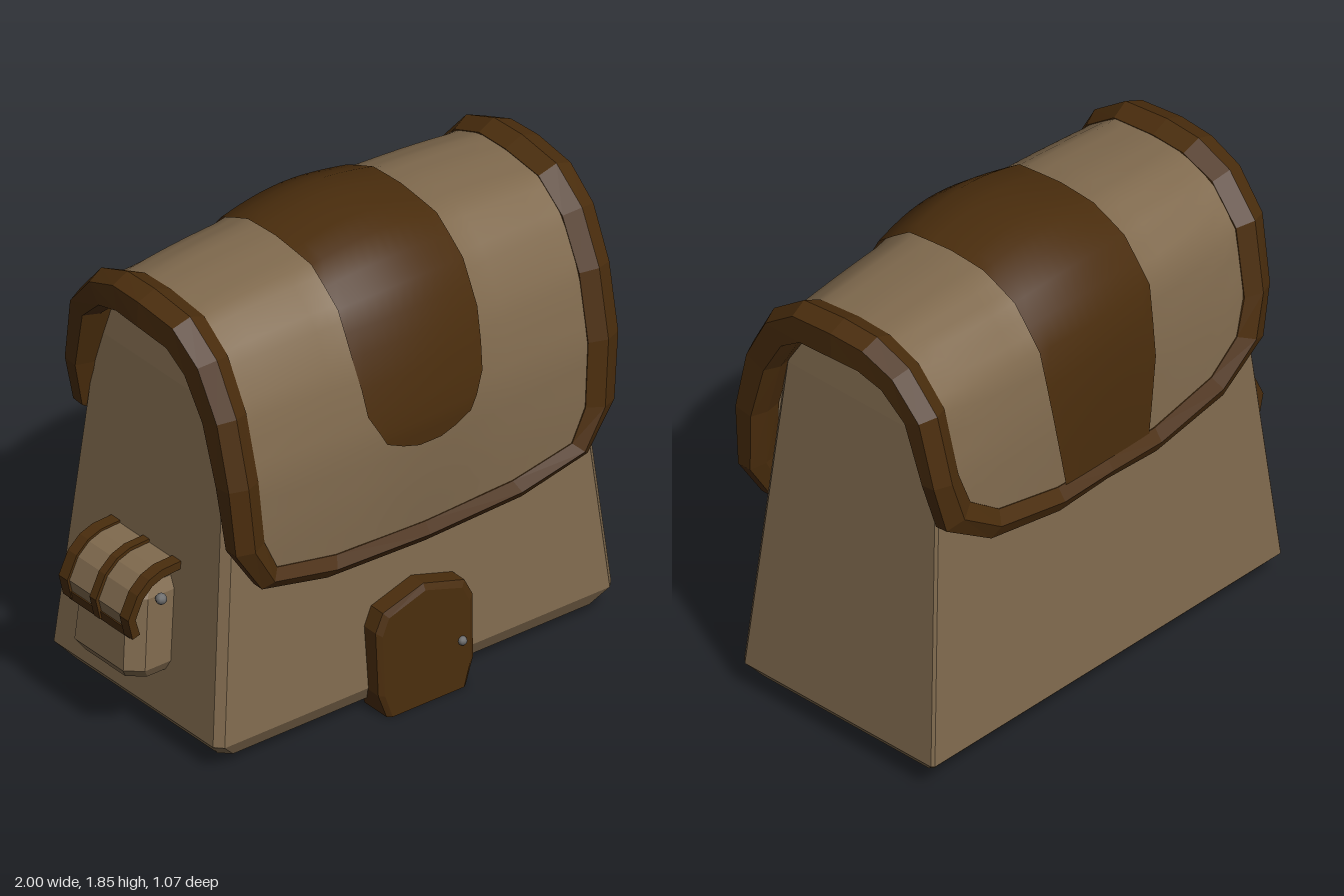
import * as THREE from 'three';

const CX = 0.09; // the bag is centred here, the side pouch fills the rest
const tan = new THREE.MeshStandardMaterial({ color: 0x806a4e, side: THREE.DoubleSide });
tan.name = 'tan canvas';
const brown = new THREE.MeshStandardMaterial({ color: 0x4a2d0d, side: THREE.DoubleSide });
brown.name = 'brown leather';
const grey = new THREE.MeshStandardMaterial({ color: 0x6c6c6c });
grey.name = 'grey metal';

// Skin a list of equal-length point rows; ring closes each row, loop joins last to first
function loft(rows, { ring = false, loop = false, caps = false, flat = false } = {}) {
  const n = rows[0].length, m = rows.length, idx = [];
  const pos = rows.flat();
  for (let i = 0; i < (loop ? m : m - 1); i++) {
    for (let j = 0; j < (ring ? n : n - 1); j++) {
      const k = (j + 1) % n, i2 = (i + 1) % m;
      const a = i * n + j, b = i * n + k, c = i2 * n + k, d = i2 * n + j;
      idx.push(a, b, c, a, c, d);
    }
  }
  if (caps) {
    for (let j = 1; j < n - 1; j++) {
      const e = (m - 1) * n;
      idx.push(0, j + 1, j, e, e + j, e + j + 1);
    }
  }
  let g = new THREE.BufferGeometry();
  g.setAttribute('position', new THREE.Float32BufferAttribute(pos.flatMap(p => p.toArray()), 3));
  g.setIndex(idx);
  if (flat) g = g.toNonIndexed();
  g.computeVertexNormals();
  return g;
}

function add(parent, name, geometry, material) {
  const mesh = new THREE.Mesh(geometry, material);
  mesh.name = name;
  parent.add(mesh);
  return mesh;
}

const lerpTable = (table, v) => {
  let i = 0;
  while (i < table.length - 2 && v > table[i + 1][0]) i++;
  const [v0, a] = table[i], [v1, b] = table[i + 1];
  return a + (b - a) * (v - v0) / (v1 - v0);
};

// Flap profile as [z, y], front hem over the top to the back hem
const PROFILE = [[.49, .66], [.495, .95], [.485, 1.2], [.425, 1.46], [.325, 1.65], [.19, 1.75],
  [0, 1.77], [-.15, 1.765], [-.29, 1.71], [-.41, 1.57], [-.465, 1.3], [-.495, .9]];
const zTable = PROFILE.map((p, i) => [i, p[0]]);
const yTable = PROFILE.map((p, i) => [i, p[1]]);

// Point on the flap at sideways position x, profile position v, raised by h
function surf(x, v, h) {
  const dz = lerpTable(zTable, v + .5) - lerpTable(zTable, v - .5);
  const dy = lerpTable(yTable, v + .5) - lerpTable(yTable, v - .5);
  const l = Math.hypot(dz, dy);
  const over = Math.max(0, Math.sin(Math.PI * v / 11));
  const crown = .04 * Math.max(0, 1 - (x / .76) ** 2);
  const bulge = Math.abs(x) < .3 ? .04 * Math.cos(x / .3 * Math.PI / 2) : 0;
  const r = h + over * (crown + bulge);
  return new THREE.Vector3(CX + x, lerpTable(yTable, v) - dz / l * r, lerpTable(zTable, v) + dy / l * r);
}
const thickness = v => .04 + .07 * Math.max(0, Math.sin(Math.PI * v / 11));

function buildFlap(group) {
  const flap = new THREE.Group();
  flap.name = 'flap';
  group.add(flap);
  // Cloth sheet and its lining
  const width = [[0, .69], [.5, .71], [1, .755], [2, .78], [9, .78], [10, .76], [11, .7]];
  const sheet = inside => {
    const rows = [];
    for (let i = 0; i <= 33; i++) {
      const row = [];
      for (let j = 0; j <= 24; j++) {
        const s = j / 12 - 1, f = .2 + .25 * s * s, b = 10.9 - .4 * s ** 4;
        const v = f + (b - f) * i / 33;
        row.push(surf(s * lerpTable(width, v), v, inside ? -thickness(v) : 0));
      }
      rows.push(row);
    }
    return loft(rows);
  };
  add(flap, 'flapCloth', sheet(false), tan);
  add(flap, 'flapLining', sheet(true), tan);

  // Centre strap with a rounded front end
  const half = [[1.6, .05], [1.68, .12], [1.8, .19], [2.3, .26], [3.2, .285], [9, .285], [10, .265], [11, .2]];
  const rows = [1.6, 1.68, 1.8, 2, 2.3, 2.7, 3.2, 3.6, 4, 4.5, 5, 5.5, 6, 6.5, 7, 7.5, 8, 8.5, 9, 9.5, 10, 10.5, 10.95]
    .map(v => Array.from({ length: 13 }, (_, j) => surf((j / 6 - 1) * lerpTable(half, v), v, .008)));
  add(flap, 'centreStrap', loft(rows), brown);

  // Leather edging: inner x, inner v, outer x, outer v around one half
  const edge = [[0, .31, 0, .02], [.4, .35, .44, .07], [.67, .53, .74, .3], [.73, .97, .86, .93],
    [.75, 2, .885, 2], [.757, 3, .892, 3], [.76, 4, .9, 4], [.76, 5, .905, 5], [.76, 6, .91, 6],
    [.76, 7, .905, 7], [.76, 8, .9, 8], [.755, 9, .89, 9], [.74, 10, .87, 10],
    [.69, 10.35, .82, 10.5], [.55, 10.6, .6, 10.85], [.25, 10.75, .25, 11], [0, 10.75, 0, 10.97]];
  const other = edge.slice(1, -1).reverse().map(([a, b, c, d]) => [-a, b, -c, d]);
  const rings = [...edge, ...other].map(([xi, vi, xo, vo]) => {
    const xm = (xi + xo) / 2, vm = (vi + vo) / 2, t = thickness(vm);
    return [surf(xi, vi, .004), surf(xm, vm, .036), surf(xo, vo, .006),
      surf(xo, vo, -t * .9), surf(xm, vm, -t - .012), surf(xi, vi, -t - .004)];
  });
  add(flap, 'flapEdging', loft(rings, { ring: true, loop: true, flat: true }), brown);
}

function buildBody(group) {
  // Levels: y, half width, front z, back z, corner cut
  const levels = [[.015, .5, .22, -.25, .05], [.045, .85, .42, -.44, .04], [.11, .905, .455, -.5, .03],
    [1.42, .78, .362, -.405, .03], [1.53, .765, .32, -.39, .03], [1.585, .735, .27, -.35, .03]];
  const rings = levels.map(([y, w, f, b, c]) => [[-w + c, f], [w - c, f], [w, f - c], [w, b + c / 3],
    [w - c / 3, b], [-w + c / 3, b], [-w, b + c / 3], [-w, f - c]].map(([x, z]) => new THREE.Vector3(CX + x, y, z)));
  add(group, 'bagBody', loft(rings, { ring: true, caps: true, flat: true }), tan);
}

function buildDoor(group) {
  const door = new THREE.Group();
  door.name = 'door';
  group.add(door);
  const outline = [[-.18, 0], [.18, 0], [.215, .1], [.22, .36], [.185, .43], [0, .485], [-.185, .43], [-.22, .36], [-.215, .1]];
  const ring = (k, z) => outline.map(([x, y]) =>
    new THREE.Vector3(.083 + x * k, y * (.5 + k / 2) + .004, z - y * .035));
  add(door, 'doorPanel', loft([ring(1, .39), ring(1, .515), ring(.9, .528)], { ring: true, caps: true, flat: true }), brown);
  add(door, 'doorKnob', new THREE.SphereGeometry(.018, 8, 6), grey).position.set(.24, .2, .525);
}

function buildPouch(group) {
  const pouch = new THREE.Group();
  pouch.name = 'sidePouch';
  pouch.position.z = -.035;
  group.add(pouch);
  // Rounded pocket, lofted upward: y, outer x, half depth
  const rings = [[.275, -.9, .13], [.29, -.94, .165], [.335, -.97, .19], [.62, -.945, .175], [.665, -.92, .15]]
    .map(([y, x, d]) => [[-.72, d], [-.72, -d], [x + .06, -d], [x, -d + .05], [x, d - .05], [x + .06, d]]
      .map(([px, z]) => new THREE.Vector3(px, y, z)));
  add(pouch, 'pocket', loft(rings, { ring: true, caps: true, flat: true }), tan);

  // Curved lid strips: outer curve in x and y, with a given thickness
  const arc = [[-.965, .5], [-.985, .58], [-.945, .665], [-.895, .71], [-.84, .73], [-.74, .735]];
  const centre = [-.82, .54];
  const strip = (name, z0, z1, lift, thick, material, path = arc) => {
    const rows = path.map(([x, y]) => {
      const d = Math.hypot(x - centre[0], y - centre[1]);
      const ux = (x - centre[0]) / d, uy = (y - centre[1]) / d;
      const at = (r, z) => new THREE.Vector3(x + ux * r, y + uy * r, z);
      return [at(lift, z0), at(lift, z1), at(lift - thick, z1), at(lift - thick, z0)];
    });
    add(pouch, name, loft(rows, { ring: true, caps: true, flat: true }), material);
  };
  strip('pouchLid', -.17, .17, 0, .02, tan);
  for (const s of [-1, 1]) {
    strip('pouchLidEdging', s * .175 - .025, s * .175 + .025, .01, .035, brown);
    const stud = add(pouch, 'pouchStud', new THREE.SphereGeometry(.022, 8, 6), grey);
    stud.position.set(-.845, .62, s * .2);
  }
  strip('pouchLidHem', -.175, .175, .008, .03, brown, [[-.96, .49], [-.97, .53]]);
  strip('pouchLidStrap', -.018, .018, .014, .02, brown);
}

export function createModel() {
  const group = new THREE.Group();
  group.name = 'satchelHouse';
  buildBody(group);
  buildFlap(group);
  buildDoor(group);
  buildPouch(group);
  return group;
}
